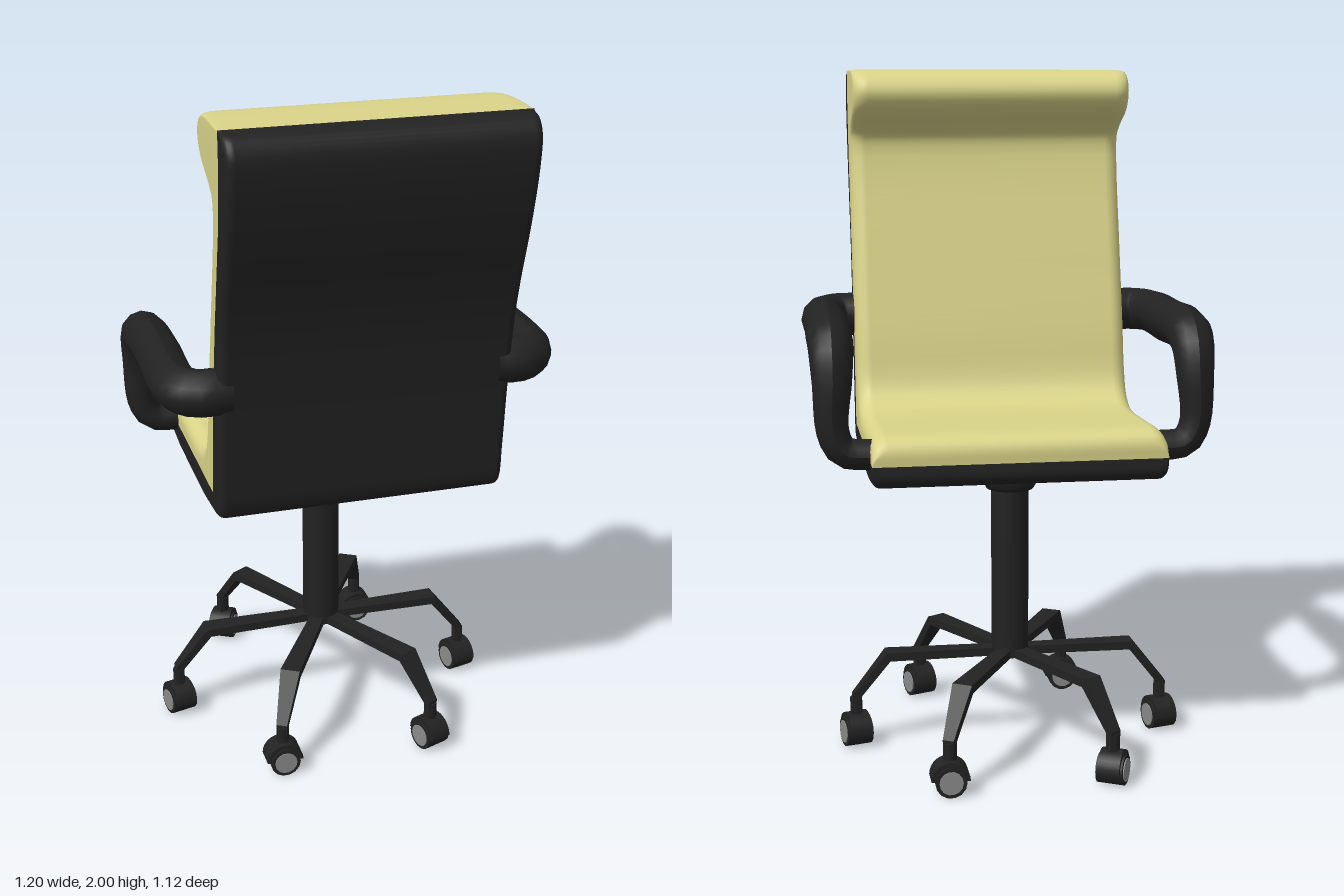
import * as THREE from 'three';

const black = new THREE.MeshStandardMaterial({ color: 0x222222 });
black.name = 'black';
const cream = new THREE.MeshStandardMaterial({ color: 0xdad489 });
cream.name = 'cream';
const grey = new THREE.MeshStandardMaterial({ color: 0x8a8a8a });
grey.name = 'grey';

function add(parent, name, geometry, material, x = 0, y = 0, z = 0) {
  const mesh = new THREE.Mesh(geometry, material);
  mesh.name = name;
  mesh.position.set(x, y, z);
  parent.add(mesh);
  return mesh;
}

// Padded slab: each station is [surface z, surface y, base z, base y];
// the cross-section rises from the base line to the surface with rounded sides.
function padded(stations, halfWidth, round, flip) {
  const steps = 4, n = (stations.length - 1) * steps;
  const curve = new THREE.CatmullRomCurve3(stations.map(s => new THREE.Vector3(0, s[1], s[0])), false, 'centripetal');
  const pos = [], index = [], arc = 5, cols = 2 * (arc + 2);
  for (let i = 0; i <= n; i++) {
    const k = Math.min(Math.floor(i / steps), stations.length - 2), f = i / steps - k;
    const bz = THREE.MathUtils.lerp(stations[k][2], stations[k + 1][2], f);
    const by = THREE.MathUtils.lerp(stations[k][3], stations[k + 1][3], f);
    const s = curve.getPoint(i / n);
    const d = Math.hypot(s.z - bz, s.y - by), r = Math.min(round, d);
    const half = [[halfWidth, 0]];
    for (let a = 0; a <= arc; a++) {
      const t = a / arc * Math.PI / 2;
      half.push([halfWidth - r + r * Math.cos(t), d - r + r * Math.sin(t)]);
    }
    const section = [...half.map(([x, h]) => [-x, h]), ...half.slice().reverse()];
    for (const [x, h] of section) {
      const t = d > 1e-6 ? h / d : 0;
      pos.push(x, by + (s.y - by) * t, bz + (s.z - bz) * t);
    }
  }
  for (let i = 0; i < n; i++) {
    for (let j = 0; j < cols - 1; j++) {
      const a = i * cols + j, b = a + 1, c = a + cols, e = c + 1;
      if (flip) index.push(a, b, c, b, e, c);
      else index.push(a, c, b, b, c, e);
    }
  }
  const g = new THREE.BufferGeometry();
  g.setAttribute('position', new THREE.Float32BufferAttribute(pos, 3));
  g.setIndex(index);
  g.computeVertexNormals();
  return g;
}

// Armrest tube that gets thinner towards its front post
function armGeometry() {
  const path = new THREE.CatmullRomCurve3([
    [0.38, 1.255, 0.4], [0.47, 1.255, 0.4], [0.51, 1.255, 0.35], [0.515, 1.255, 0.1],
    [0.52, 1.255, -0.06], [0.52, 1.23, -0.15], [0.52, 1.15, -0.185], [0.52, 1.0, -0.195],
    [0.49, 0.945, -0.195], [0.4, 0.935, -0.195],
  ].map(p => new THREE.Vector3(...p)), false, 'centripetal');
  const rings = 40, sides = 12;
  const g = new THREE.TubeGeometry(path, rings, 0.066, sides);
  const p = g.attributes.position, v = new THREE.Vector3();
  for (let i = 0; i <= rings; i++) {
    const centre = path.getPointAt(i / rings);
    const scale = 1 - 0.32 * THREE.MathUtils.smoothstep(i / rings, 0.55, 0.9);
    for (let j = 0; j <= sides; j++) {
      const k = i * (sides + 1) + j;
      v.fromBufferAttribute(p, k).sub(centre).multiplyScalar(scale).add(centre);
      p.setXYZ(k, v.x, v.y, v.z);
    }
  }
  g.computeVertexNormals();
  return g;
}

// Bent flat leg, narrower past the bend
function legGeometry() {
  const shape = new THREE.Shape([
    [0, 0.265], [0.365, 0.265], [0.455, 0.15], [0.455, 0.09], [0.478, 0.09],
    [0.478, 0.16], [0.376, 0.29], [0, 0.29],
  ].map(p => new THREE.Vector2(...p)));
  const g = new THREE.ExtrudeGeometry(shape, { depth: 0.06, bevelEnabled: false });
  g.translate(0, 0, -0.03);
  const p = g.attributes.position;
  for (let i = 0; i < p.count; i++) {
    const r = p.getX(i);
    p.setZ(i, p.getZ(i) * (r > 0.4 ? 0.55 : r < 0.1 ? 0.7 : 1));
  }
  g.computeVertexNormals();
  return g;
}

const axle = (r, width, start = 0, length = Math.PI * 2) =>
  new THREE.CylinderGeometry(r, r, width, 14, 1, false, start, length).rotateZ(Math.PI / 2);

function makeCaster() {
  const caster = new THREE.Group();
  caster.name = 'caster';
  add(caster, 'casterHood', axle(0.055, 0.066, 0, Math.PI), black, 0, 0.048, 0);
  add(caster, 'casterWheel', axle(0.045, 0.078), black, 0, 0.046, 0);
  add(caster, 'casterHub', axle(0.034, 0.084), grey, 0, 0.046, 0);
  add(caster, 'casterStem', new THREE.CylinderGeometry(0.018, 0.018, 0.06, 10), black, 0, 0.12, 0);
  return caster;
}

export function createModel() {
  const model = new THREE.Group();
  model.name = 'officeChair';
  const chair = new THREE.Group();
  chair.name = 'chair';
  chair.position.set(-0.005, 0, -0.075);
  chair.rotation.y = -0.071;
  model.add(chair);

  // Seat and backrest
  const body = new THREE.Group();
  body.name = 'body';
  body.position.x = 0.011;
  chair.add(body);
  add(body, 'shell', padded([
    [-0.3, 0.92, -0.3, 0.92], [-0.3, 0.88, -0.295, 0.92], [-0.275, 0.855, -0.275, 0.92],
    [0.36, 0.855, 0.31, 0.92], [0.405, 0.875, 0.335, 0.92], [0.425, 1.0, 0.345, 1.0],
    [0.445, 1.2, 0.37, 1.2], [0.485, 1.45, 0.425, 1.45], [0.572, 1.74, 0.5, 1.74],
    [0.603, 1.89, 0.52, 1.89], [0.603, 1.95, 0.52, 1.95], [0.575, 1.99, 0.52, 1.98],
    [0.52, 2, 0.52, 2],
  ], 0.42, 0.025, true), black);
  add(body, 'cushion', padded([
    [-0.3, 0.92, -0.3, 0.92], [-0.3, 0.96, -0.298, 0.92], [-0.285, 0.985, -0.285, 0.92],
    [-0.24, 0.998, -0.24, 0.92], [-0.1, 0.995, -0.1, 0.92], [0.1, 0.99, 0.1, 0.92],
    [0.18, 1.0, 0.25, 0.92], [0.225, 1.03, 0.335, 0.92], [0.25, 1.08, 0.345, 1.0],
    [0.275, 1.2, 0.37, 1.2], [0.335, 1.45, 0.425, 1.45], [0.4, 1.74, 0.5, 1.74],
    [0.395, 1.8, 0.508, 1.8], [0.36, 1.83, 0.512, 1.83], [0.26, 1.885, 0.52, 1.89],
    [0.235, 1.93, 0.52, 1.93], [0.245, 1.965, 0.52, 1.96], [0.28, 1.99, 0.52, 1.98],
    [0.34, 2, 0.52, 1.99], [0.52, 2, 0.52, 2],
  ], 0.42, 0.045, false), cream);

  // Armrests
  const arm = armGeometry();
  add(body, 'leftArmrest', arm, black);
  add(body, 'rightArmrest', arm, black).scale.x = -1;

  // Column
  add(chair, 'column', new THREE.CylinderGeometry(0.056, 0.056, 0.54, 24), black, 0, 0.535, 0);
  add(chair, 'collar', new THREE.LatheGeometry([
    [0, 0.78], [0.07, 0.78], [0.085, 0.805], [0.085, 0.86],
  ].map(p => new THREE.Vector2(...p)), 24), black);

  // Six legs, each caster swivelled its own way
  const leg = legGeometry();
  [0.25, 0.35, Math.PI / 2, 0.25, -0.5, Math.PI / 2].forEach((swivel, k) => {
    const angle = k * Math.PI / 3;
    add(chair, 'baseLeg', leg, black).rotation.y = -angle;
    const caster = makeCaster();
    caster.position.set(0.467 * Math.cos(angle), 0, 0.467 * Math.sin(angle));
    caster.rotation.y = swivel;
    chair.add(caster);
  });
  return model;
}
